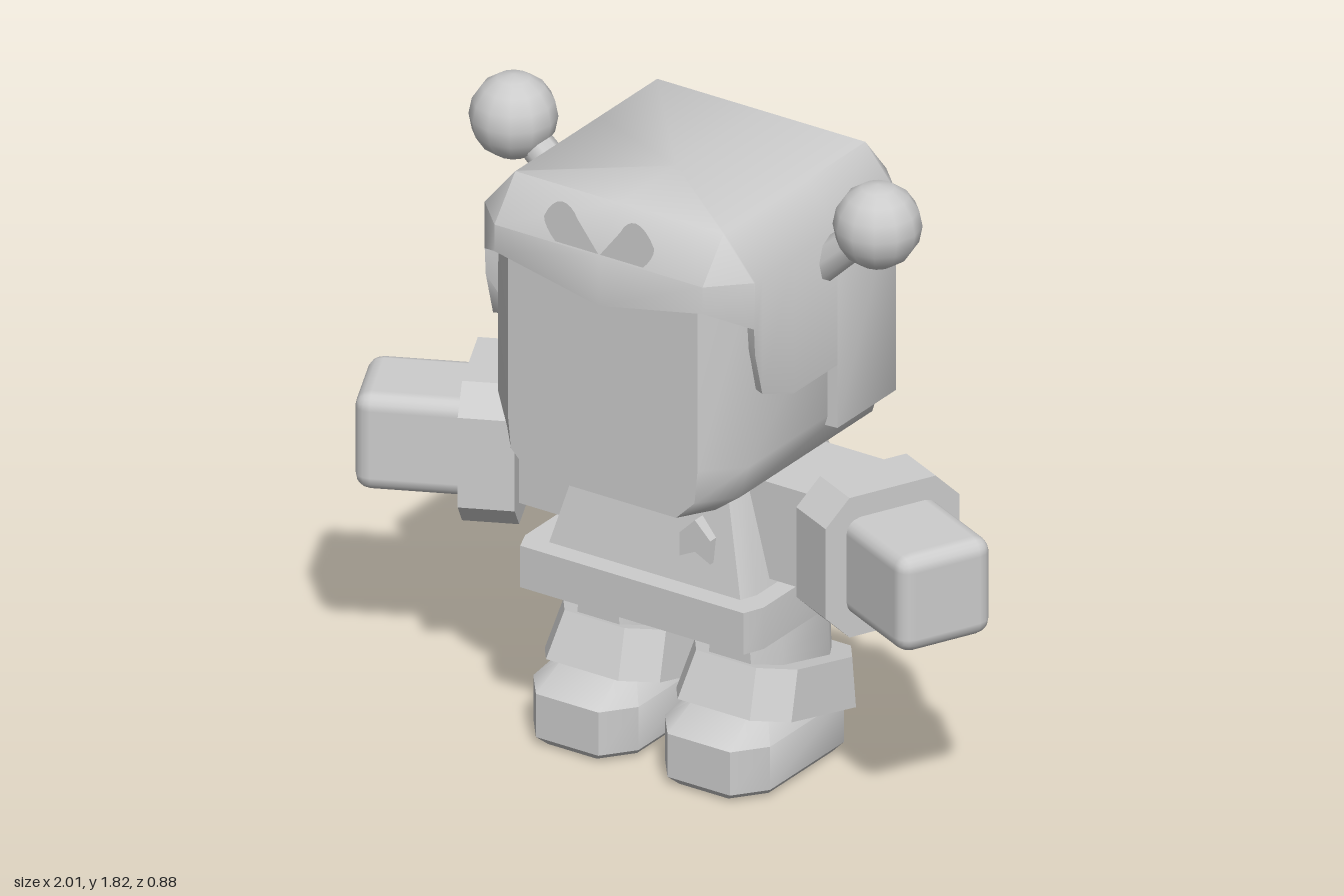
import * as THREE from 'three';
import { mergeGeometries, toCreasedNormals } from 'three/addons/utils/BufferGeometryUtils.js';
import { RoundedBoxGeometry } from 'three/addons/geometries/RoundedBoxGeometry.js';

const grey = new THREE.MeshStandardMaterial({ color: 0xcccccc, side: THREE.DoubleSide });
grey.name = 'grey';

// Skin a stack of rings (listed upwards, each running front -> left -> back).
// Faces for which isPanel is true keep sharp borders.
function loft(rings, { crease = 0.6, bottom = true, isPanel = () => false } = {}) {
  const smooth = [], panel = [];
  const tri = (a, b, c) => {
    const n = new THREE.Vector3().subVectors(b, a).cross(new THREE.Vector3().subVectors(c, a));
    if (n.length() < 1e-8) return;
    const list = [a, b, c].every(isPanel) ? panel : smooth;
    for (const p of [a, b, c]) list.push(p.x, p.y, p.z);
  };
  const cap = (ring, up) => {
    const mid = ring.reduce((s, p) => s.add(p), new THREE.Vector3()).divideScalar(ring.length);
    ring.forEach((p, i) => {
      const q = ring[(i + 1) % ring.length];
      up ? tri(mid, p, q) : tri(mid, q, p);
    });
  };
  for (let r = 0; r < rings.length - 1; r++) {
    const lo = rings[r], hi = rings[r + 1];
    lo.forEach((p, i) => {
      const j = (i + 1) % lo.length;
      tri(p, lo[j], hi[j]);
      tri(p, hi[j], hi[i]);
    });
  }
  if (bottom) cap(rings[0], false);
  cap(rings[rings.length - 1], true);
  const parts = [smooth, panel].filter((l) => l.length).map((l) => {
    const g = new THREE.BufferGeometry();
    g.setAttribute('position', new THREE.Float32BufferAttribute(l, 3));
    return toCreasedNormals(g, crease);
  });
  return parts.length > 1 ? mergeGeometries(parts) : parts[0];
}

// Rectangle with cut corners at height y; w is half width, z runs back to front
function octagon(y, w, front, back, cx = 0.06, cz = cx) {
  const v = (x, z) => new THREE.Vector3(x, y, z);
  return [v(-w + cx, front), v(w - cx, front), v(w, front - cz), v(w, back + cz),
    v(w - cx, back), v(-w + cx, back), v(-w, back + cz), v(-w, front - cz)];
}

function add(parent, name, geometry) {
  const mesh = new THREE.Mesh(geometry, grey);
  mesh.name = name;
  parent.add(mesh);
  return mesh;
}

function makeHelmet() {
  // Left half of the lower rim: x, z, y
  const half = [[0, 0.44, 1.48], [0.34, 0.44, 1.55], [0.44, 0.34, 1.49], [0.44, 0.335, 1.41],
    [0.44, 0.3, 1.28], [0.44, 0.15, 1.22], [0.44, -0.06, 1.22], [0.44, -0.06, 1.03],
    [0.44, -0.34, 1.03], [0.34, -0.44, 1.03], [0, -0.44, 1.03]];
  const mirrored = half.slice(1, -1).reverse().map(([x, z, y]) => [-x, z, y]);
  const rim = [...half, ...mirrored];
  const clamp = (n) => THREE.MathUtils.clamp(n, -0.34, 0.34);
  const inner = rim.map(([x, z, y]) => new THREE.Vector3(x * 0.89, y, z * 0.93));
  const outer = rim.map(([x, z, y]) => new THREE.Vector3(x, y, z));
  const brow = rim.map(([x, z]) => new THREE.Vector3(x, 1.63, z));
  const crown = rim.map(([x, z]) => new THREE.Vector3(clamp(x), 1.75, clamp(z)));
  return loft([inner, outer, brow, crown],
    { crease: 0.9, bottom: false, isPanel: (p) => p.z < -0.339 && Math.abs(p.x) < 0.341 });
}

export function createModel() {
  const model = new THREE.Group();
  model.name = 'robot';

  // Head
  const head = new THREE.Group();
  head.name = 'head';
  model.add(head);
  add(head, 'face', loft([
    octagon(0.9, 0.3, 0.42, -0.415, 0.06, 0.1),
    octagon(0.96, 0.38, 0.42, -0.415, 0.08, 0.1),
    octagon(1.06, 0.41, 0.42, -0.415, 0.1),
    octagon(1.6, 0.41, 0.42, -0.415, 0.1),
  ], { crease: 0.9, isPanel: (p) => p.z > 0.419 }));
  add(head, 'helmet', makeHelmet());

  // Upright leaf crest on the brow
  for (const s of [-1, 1]) {
    const leaf = new THREE.Shape();
    leaf.moveTo(0, 1.63);
    leaf.lineTo(s * 0.07, 1.72);
    leaf.quadraticCurveTo(s * 0.09, 1.76, s * 0.12, 1.76);
    leaf.quadraticCurveTo(s * 0.155, 1.755, s * 0.18, 1.7);
    leaf.quadraticCurveTo(s * 0.18, 1.67, s * 0.14, 1.63);
    add(head, 'crestLeaf', new THREE.ShapeGeometry(leaf, 4)).position.z = 0.437;
  }

  // Antennae
  for (const s of [-1, 1]) {
    const ball = add(head, 'antennaBall', new THREE.SphereGeometry(0.122, 12, 8));
    ball.position.set(s * 0.595, 1.7, -0.025);
    const stalk = add(head, 'antennaStalk', new THREE.CylinderGeometry(0.045, 0.055, 0.28, 8));
    stalk.position.set(s * 0.485, 1.6, -0.025);
    stalk.rotation.z = -s * 0.84;
  }

  // Torso and belt
  add(model, 'torso', loft([
    octagon(0.58, 0.335, 0.22, -0.355, 0.02, 0.05),
    octagon(0.92, 0.245, 0.16, -0.285, 0.02, 0.05),
  ]));
  add(model, 'belt', loft([
    octagon(0.465, 0.39, 0.28, -0.41, 0.025, 0.06),
    octagon(0.59, 0.39, 0.28, -0.41, 0.025, 0.06),
  ]));

  // Chest badge
  const badge = new THREE.Shape([[0, 0.79], [-0.05, 0.74], [-0.05, 0.67], [0, 0.695], [0.05, 0.67], [0.05, 0.74]]
    .map(([x, y]) => new THREE.Vector2(x, y)));
  add(model, 'badge', new THREE.ExtrudeGeometry(badge, { depth: 0.05, bevelEnabled: false }))
    .position.set(0.165, 0, 0.17);

  for (const s of [-1, 1]) {
    // Arm: straight sleeve, then a cuff and hand swung forward
    const arm = new THREE.Group();
    arm.name = s > 0 ? 'leftArm' : 'rightArm';
    model.add(arm);
    add(arm, 'sleeve', new THREE.BoxGeometry(0.42, 0.29, 0.29)).position.set(s * 0.39, 0.755, -0.045);
    const wrist = new THREE.Group();
    wrist.name = 'wrist';
    wrist.position.set(s * 0.62, 0.755, 0.01);
    wrist.rotation.y = -s * 0.44;
    arm.add(wrist);
    const cuff = loft([octagon(-0.078, 0.21, 0.21, -0.21, 0.075), octagon(0.078, 0.21, 0.21, -0.21, 0.075)]);
    add(wrist, 'cuff', cuff).rotation.z = -Math.PI / 2;
    add(wrist, 'hand', new RoundedBoxGeometry(0.38, 0.29, 0.29, 2, 0.045)).position.x = s * 0.185;

    // Leg
    const leg = new THREE.Group();
    leg.name = s > 0 ? 'leftLeg' : 'rightLeg';
    leg.position.x = s * 0.215;
    model.add(leg);
    add(leg, 'shin', loft([
      octagon(0.1, 0.13, 0.125, -0.255, 0.05, 0.08),
      octagon(0.36, 0.118, 0.125, -0.255, 0.05, 0.08),
      octagon(0.48, 0.105, 0.125, -0.255, 0.05, 0.08),
    ], { crease: 0.9 }));
    const bootCuff = add(leg, 'bootCuff', loft([
      octagon(-0.07, 0.188, 0.26, -0.26, 0.07, 0.1),
      octagon(0.07, 0.168, 0.235, -0.235, 0.07, 0.1),
    ]));
    bootCuff.position.set(0, 0.228, -0.066);
    bootCuff.rotation.x = -0.255;
    add(leg, 'foot', loft([
      octagon(0, 0.15, 0.25, -0.235, 0.07, 0.09),
      octagon(0.025, 0.172, 0.275, -0.26, 0.07, 0.09),
      octagon(0.155, 0.172, 0.275, -0.26, 0.07, 0.09),
      octagon(0.22, 0.12, 0.17, -0.2, 0.03, 0.05),
    ], { crease: 0.7 }));
  }
  return model;
}
